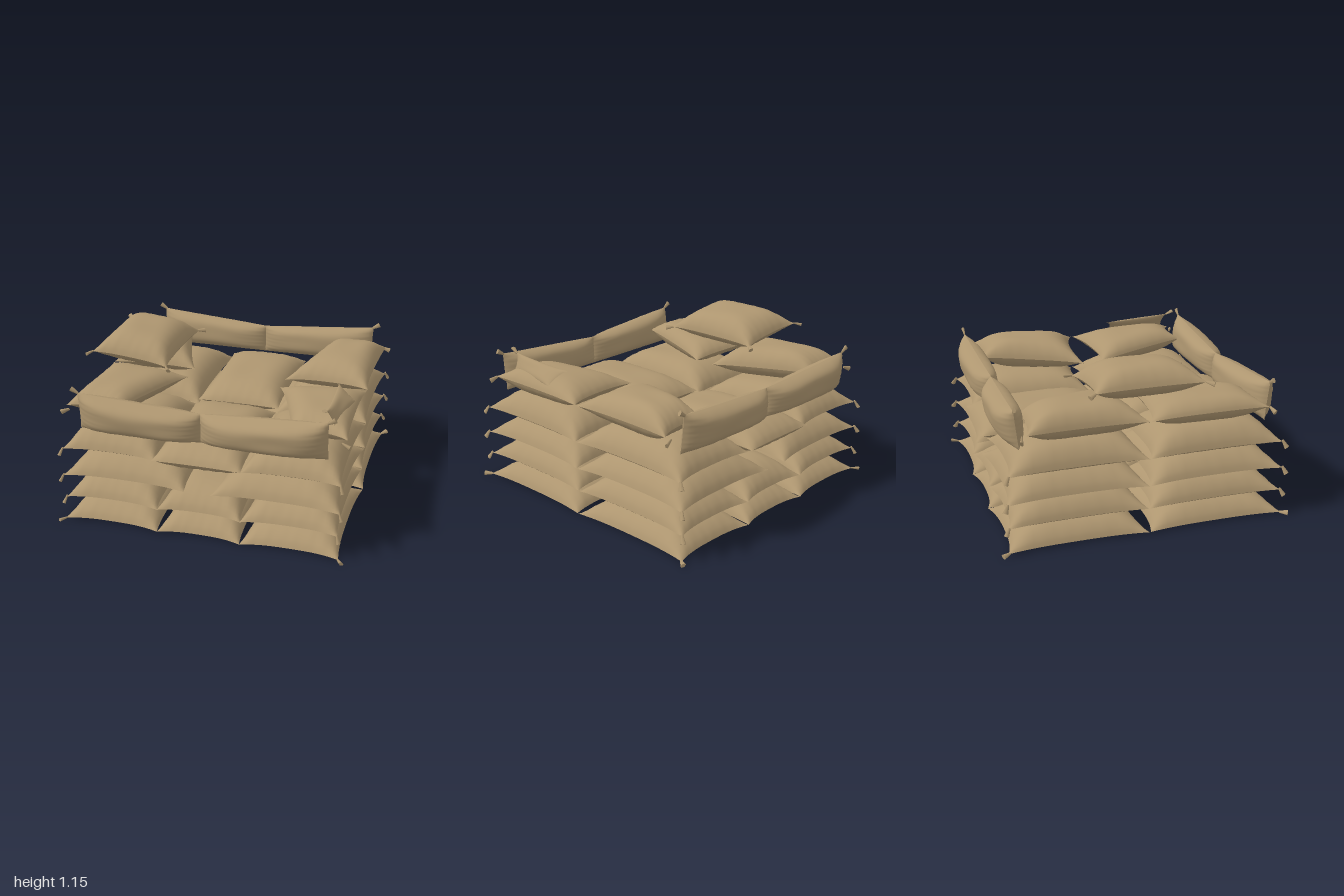
import * as THREE from 'three';

const burlap = new THREE.MeshStandardMaterial({ color: 0xae9670 });
burlap.name = 'burlap';
const N = 24;
const V = (p) => new THREE.Vector3(...p);

// Cushion stretched over four corners (u-v-, u+v-, u+v+, u-v+), swelling by up and down along its normal
function pillow(corners, up, down, { pinchX = 0.09, pinchZ = 0.09, power = 4, seed = 0 } = {}) {
  const [a, b, c, d] = corners.map(V);
  const eu = b.clone().add(c).sub(a).sub(d);
  const ev = c.clone().add(d).sub(a).sub(b);
  const n = ev.cross(eu).normalize();
  const ease = (i) => Math.sin((i / N - 0.5) * Math.PI) * 0.7 + (i / N - 0.5) * 0.6;
  const swell = (t) => Math.pow(Math.max(0, 1 - Math.pow(Math.abs(t), power)), 0.72);
  const ear = (t) => 1 - Math.pow(Math.abs(t), 2.8); // edges drawn in, corners left as ears
  const pos = [], idx = [];
  for (const side of [1, -1]) {
    const base = pos.length / 3;
    for (let j = 0; j <= N; j++) for (let i = 0; i <= N; i++) {
      const u = ease(i), v = ease(j);
      const pu = (u * (1 - pinchX * ear(v)) + 1) / 2;
      const pv = (v * (1 - pinchZ * ear(u)) + 1) / 2;
      const p = a.clone().lerp(b, pu).lerp(d.clone().lerp(c, pu), pv);
      // soft lumps in the middle, pleats near the seam
      const rim = Math.pow(Math.max(Math.abs(u), Math.abs(v)), 5);
      const along = Math.abs(u) > Math.abs(v) ? v : u;
      const wave = 1 - 0.025 * (1 + Math.sin(5 * u + seed) * Math.sin(4 * v + 2 * seed))
        - 0.16 * rim * Math.pow(Math.sin(11 * along + seed * 1.7), 2);
      p.addScaledVector(n, side * (side > 0 ? up : down) * swell(u) * swell(v) * wave);
      pos.push(p.x, p.y, p.z);
    }
    for (let j = 0; j < N; j++) for (let i = 0; i < N; i++) {
      const q = base + j * (N + 1) + i, r = q + N + 1;
      if (side > 0) idx.push(q, r, q + 1, q + 1, r, r + 1);
      else idx.push(q, q + 1, r, q + 1, r + 1, r);
    }
  }
  const g = new THREE.BufferGeometry();
  g.setAttribute('position', new THREE.Float32BufferAttribute(pos, 3));
  g.setIndex(idx);
  g.computeVertexNormals();
  return g;
}

// Flared tuft of cloth tied off at a bag corner
const tuftShape = new THREE.CylinderGeometry(0.02, 0.009, 0.06, 6).translate(0, 0.018, 0).scale(1, 1, 0.6);
function tuft(corner, centre, droop) {
  const m = new THREE.Mesh(tuftShape, burlap);
  m.name = 'cornerTuft';
  const dir = corner.clone().sub(centre).setY(0).normalize();
  dir.y = -droop;
  m.quaternion.setFromUnitVectors(new THREE.Vector3(0, 1, 0), dir.normalize());
  m.position.copy(corner);
  return m;
}

export function createModel() {
  const model = new THREE.Group();
  model.name = 'sandbagStack';
  let count = 0;

  function bag(name, corners, up, down, { droop = 0.8, ties = [], ...shape } = {}) {
    const g = new THREE.Group();
    g.name = name;
    const body = new THREE.Mesh(pillow(corners, up, down, { seed: ++count * 1.37, ...shape }), burlap);
    body.name = 'bagBody';
    g.add(body);
    const pts = corners.map(V);
    const centre = pts.reduce((s, p) => s.add(p), new THREE.Vector3()).divideScalar(4);
    for (const k of ties) g.add(tuft(pts[k], centre, droop));
    model.add(g);
  }
  const flat = (x0, x1, z0, z1, y) => [[x0, y, z0], [x1, y, z0], [x1, y, z1], [x0, y, z1]];

  // Layer rows: x ranges, inner and outer z, seam height, swell up and down
  const layers = [
    { name: 'bottomBag', xs: [[-0.96, -0.29], [-0.29, 0.29], [0.29, 0.96]], zs: [0.004, 0.965], y: 0.018, up: 0.14, down: 0.013, droop: 0 },
    { name: 'secondLayerBag', xs: [[-0.945, -0.29], [-0.29, 0.29], [0.29, 0.945]], zs: [0.004, 0.955], y: 0.185, up: 0.155, down: 0.04 },
    { name: 'thirdLayerBag', xs: [[-0.955, -0.09], [0.09, 0.955]], zs: [0.004, 0.96], y: 0.355, up: 0.17, down: 0.03 },
    { name: 'fourthLayerBag', xs: [[-0.955, -0.29], [0.29, 0.955]], zs: [0.004, 0.95], y: 0.55, up: 0.17, down: 0.045 },
    { name: 'fourthLayerMiddleBag', xs: [[-0.305, 0.305]], zs: [0.03, 0.985], y: 0.57, up: 0.125, down: 0.11, pinchX: 0.06, pinchZ: 0.025 },
  ];
  for (const { name, xs, zs, y, up, down, droop = 1.6, ...shape } of layers)
    for (const [x0, x1] of xs) for (const s of [1, -1]) {
      const corners = s > 0 ? flat(x0, x1, zs[0], zs[1], y) : flat(x0, x1, -zs[1], -zs[0], y);
      // only the outer corners of the stack carry a tuft
      const ties = [0, 1, 2, 3].filter((k) => Math.abs(corners[k][0]) > 0.9 && Math.abs(corners[k][2]) > 0.5);
      bag(name, corners, up, down, { droop, ties, ...shape });
    }

  // Side bags on the fifth layer, narrower toward the front and back
  for (const sx of [1, -1]) for (const sz of [1, -1]) {
    const near = [[sx * 0.34, 0.79, sz * 0.07], [sx * 0.95, 0.81, sz * 0.005]];
    const far = [[sx * 0.59, 0.83, sz * 0.8], [sx * 0.96, 0.82, sz * 0.83]];
    const [zl, zh] = sz > 0 ? [near, far] : [far, near];
    const c = sx > 0 ? [zl[0], zl[1], zh[1], zh[0]] : [zl[1], zl[0], zh[0], zh[1]];
    bag('sideBag', c, sz > 0 ? 0.095 : 0.13, 0.1, { pinchX: 0.08, pinchZ: sx > 0 ? 0.12 : 0.08 });
  }

  // Crumpled bag end leaning inward above the front left corner
  bag('foldedBagEnd', [[0.86, 0.86, 0.74], [0.92, 0.86, 0.3], [0.79, 0.95, 0.25], [0.81, 0.975, 0.77]],
    0.02, 0.02, { ties: [3], droop: -0.5 });

  // Long bags on edge, forming the front and back parapets
  for (const sz of [1, -1]) for (const sx of [1, -1]) {
    const lo = [[-sx * 0.01, 0.68, sz * 0.845], [sx * 0.85, 0.68, sz * 0.85]];
    const hi = [[-sx * 0.01, 0.89, sz * 0.85], [sx * 0.85, 0.95, sz * 0.88]];
    const k = sx > 0 ? [0, 1] : [1, 0];
    const c = [lo[k[0]], lo[k[1]], hi[k[1]], hi[k[0]]];
    const [up, down] = sz > 0 ? [0.09, 0.125] : [0.11, 0.09];
    bag('parapetBag', c, up, down, { pinchX: 0.012, pinchZ: 0.03, droop: -0.6, ties: [sx > 0 ? 2 : 3] });
  }
  // Loose outer knots beside the parapet ends
  for (const sx of [1, -1]) for (const sz of [1, -1])
    model.add(tuft(new THREE.Vector3(sx * 0.94, 0.8, sz * 0.85), new THREE.Vector3(0, 0.8, sz * 0.6), 0.4));

  // Single bag lying across the right-hand side bags
  bag('topBag', [[-0.95, 1.04, -0.38], [-0.4, 0.98, -0.38], [-0.4, 0.98, 0.38], [-0.95, 1.04, 0.38]],
    0.14, 0.09, { droop: 0.2, ties: [0, 1, 2, 3] });

  return model;
}
